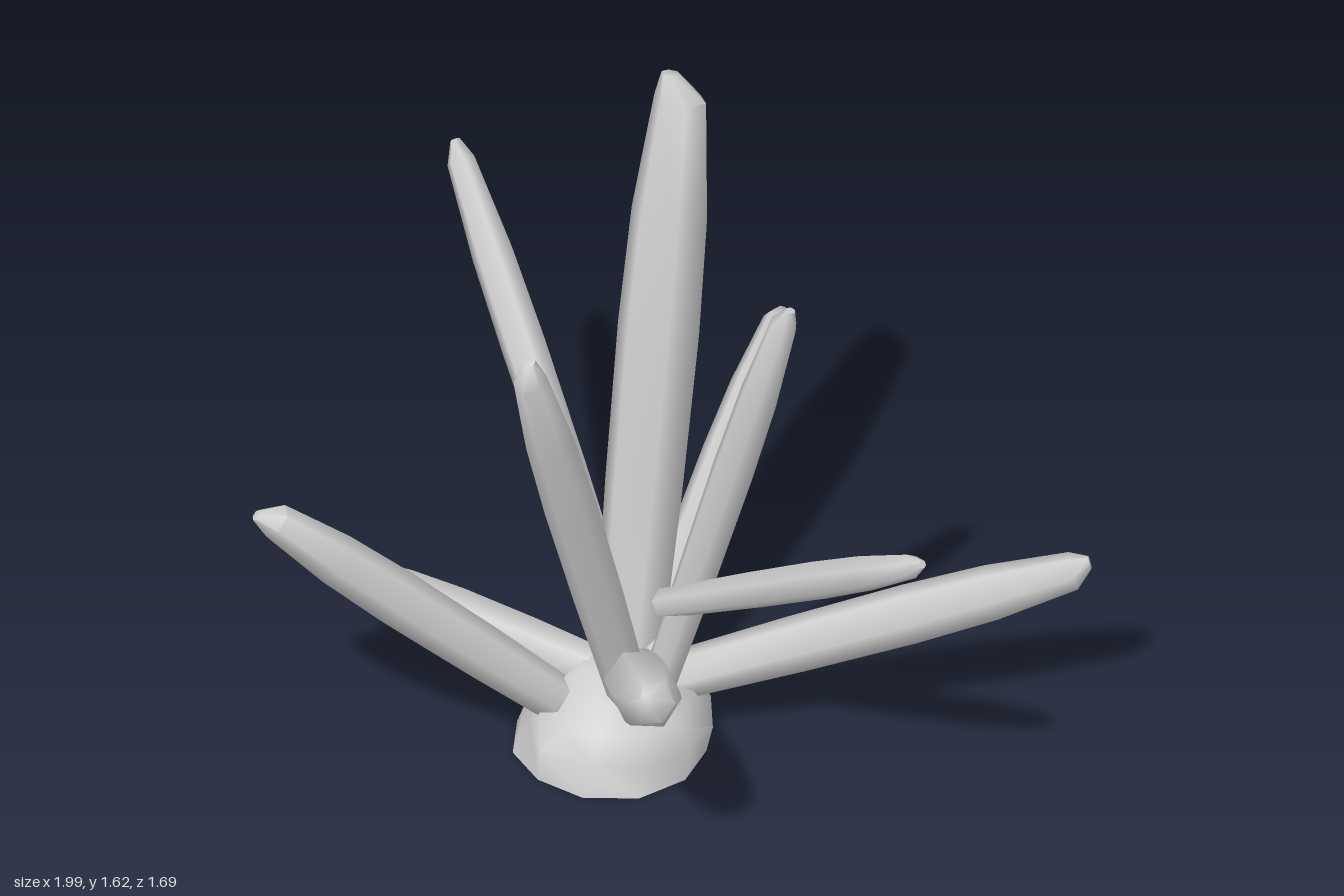
import * as THREE from 'three';
import { mergeVertices, toCreasedNormals } from 'three/addons/utils/BufferGeometryUtils.js';

const material = new THREE.MeshStandardMaterial({ color: 0xcccccc });

// Deterministic noise in -1..1
const noise = (n) => {
  const s = Math.sin(n * 127.1 + 3.7) * 43758.5453;
  return (s - Math.floor(s)) * 2 - 1;
};

// Weld the seam of a lathe so that it shades as one surface
function weld(geometry) {
  geometry.deleteAttribute('uv');
  geometry.deleteAttribute('normal');
  const welded = mergeVertices(geometry, 1e-4);
  welded.computeVertexNormals();
  return welded;
}

// Six-sided crystal: slim foot, widest past the middle, blunt crooked tip
const profile = [[0, 0.78], [0.35, 0.95], [0.6, 1], [0.78, 0.93], [0.96, 0.64], [1, 0.22], [1, 0]];

function makeCrystal(base, tip, radius, index) {
  const from = new THREE.Vector3(...base);
  const axis = new THREE.Vector3(...tip).sub(from);
  const length = axis.length();
  const points = profile.map(([t, r]) => new THREE.Vector2(r * radius * 1.04, t * length));
  const geometry = weld(new THREE.LatheGeometry(points, 6, index * 0.4));
  // Push the tip off the axis
  const p = geometry.attributes.position;
  for (let i = 0; i < p.count; i++) {
    if (p.getY(i) > length * 0.99) {
      p.setX(i, p.getX(i) + noise(index) * radius * 0.25);
      p.setZ(i, p.getZ(i) + noise(index + 20) * radius * 0.25);
    }
  }
  const mesh = new THREE.Mesh(toCreasedNormals(geometry, 1.1), material);
  mesh.position.copy(from);
  mesh.quaternion.setFromUnitVectors(new THREE.Vector3(0, 1, 0), axis.normalize());
  mesh.name = `crystal${index + 1}`;
  return mesh;
}

// Lumpy rock with a flat underside, rising to a low mound between the crystals
function makeRock() {
  const rings = [[0, 0], [0.236, 0], [0.228, 0.07], [0.19, 0.15], [0.11, 0.21], [0, 0.25]];
  const sides = 11;
  const points = rings.map(([r, y]) => new THREE.Vector2(r, y));
  const geometry = weld(new THREE.LatheGeometry(points, sides));
  const p = geometry.attributes.position;
  for (let i = 0; i < p.count; i++) {
    const x = p.getX(i), y = p.getY(i), z = p.getZ(i);
    const side = (Math.round(Math.atan2(x, z) / (2 * Math.PI) * sides) + sides) % sides;
    const seed = side + Math.round(y * 100) * 1.7;
    const scale = 1 + (y > 0 ? 0.12 : 0.05) * noise(seed);
    const lift = y > 0 && y < 0.24 ? 0.03 * noise(seed + 50) : 0;
    // The mound leans back as it rises
    p.setXYZ(i, x * scale - 0.015 + y * 0.1, y + lift, z * scale + 0.098 - y * 0.2);
  }
  geometry.computeVertexNormals();
  const mesh = new THREE.Mesh(toCreasedNormals(geometry, 1.2), material);
  mesh.name = 'rockBase';
  return mesh;
}

export function createModel() {
  const group = new THREE.Group();
  group.name = 'crystalCluster';
  group.add(makeRock());

  // Foot, tip and largest radius of each crystal
  const crystals = [
    [[-0.04, 0.06, 0.03], [-0.26, 1.61, -0.36], 0.098],
    [[0.07, 0.1, 0.08], [0.18, 1.4, 0.54], 0.061],
    [[0.08, 0.13, 0.05], [0.39, 1.37, -0.12], 0.052],
    [[-0.04, 0.2, 0.01], [-0.99, 1.08, -0.28], 0.053],
    [[0.12, 0.45, 0.04], [0.985, 0.98, -0.01], 0.046],
    [[-0.03, 0.05, 0.11], [-0.44, 0.79, 0.83], 0.066],
    [[-0.01, 0.18, 0.03], [0.615, 0.63, 0.52], 0.083],
    [[0, 0.14, 0.02], [0.68, 0.445, -0.83], 0.07],
    [[0.01, 0.19, 0.02], [-0.42, 0.64, -0.83], 0.056],
    [[0, 0.16, 0.05], [-0.635, 0.33, 0.41], 0.068],
    [[-0.12, 0.15, 0.07], [-0.31, 0.12, 0.07], 0.038],
  ];
  crystals.forEach(([base, tip, radius], i) => group.add(makeCrystal(base, tip, radius, i)));
  return group;
}
